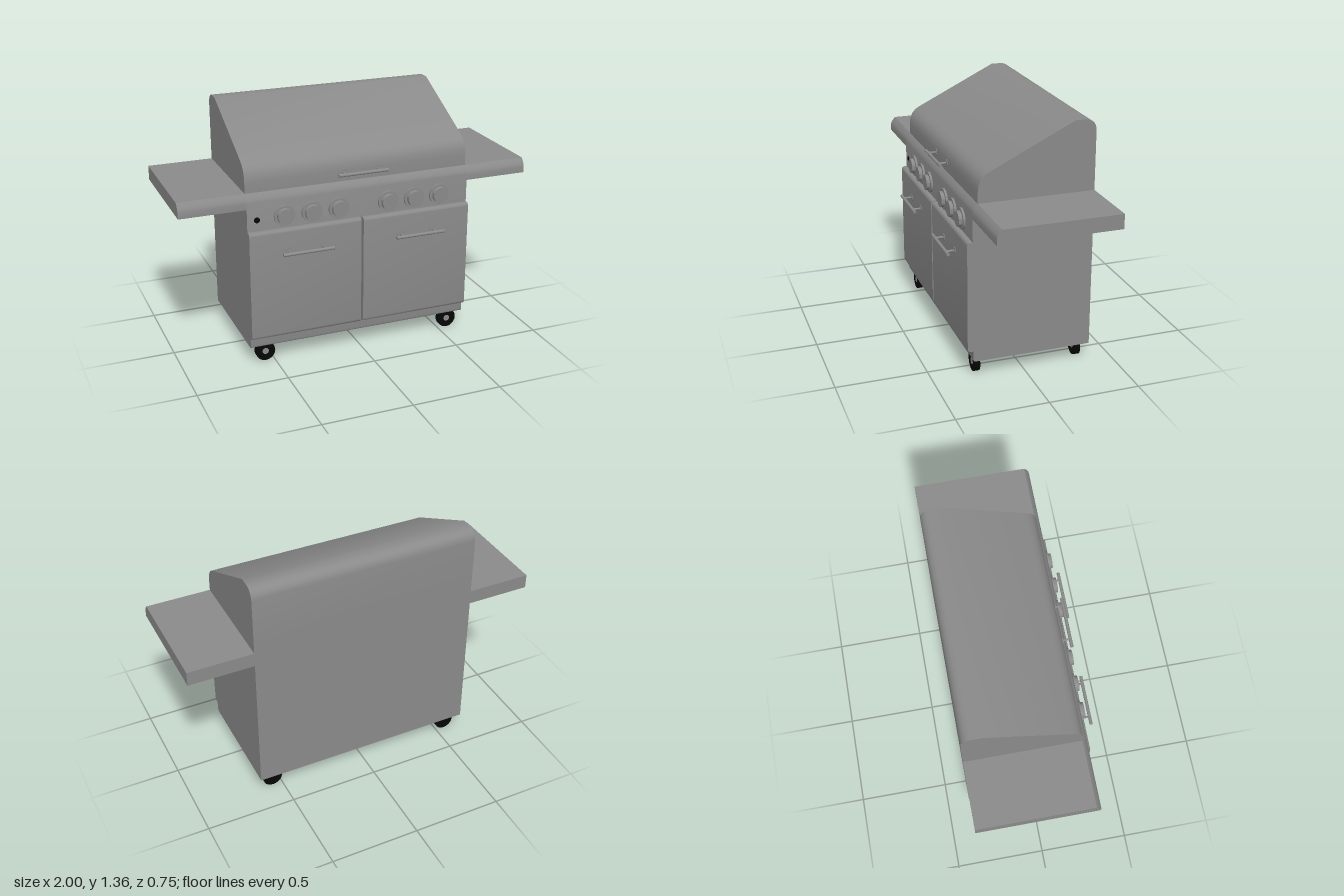
import * as THREE from 'three';
import { toCreasedNormals } from 'three/addons/utils/BufferGeometryUtils.js';

const steel = new THREE.MeshStandardMaterial({ color: 0x8a8a8a });
const black = new THREE.MeshStandardMaterial({ color: 0x060606 });

const BACK = -0.374, FRONT = 0.287, HALF = 0.638;

export function createModel() {
  const model = new THREE.Group();

  function add(name, geometry, material, x = 0, y = 0, z = 0, parent = model) {
    const mesh = new THREE.Mesh(geometry, material);
    mesh.name = name;
    mesh.position.set(x, y, z);
    parent.add(mesh);
    return mesh;
  }

  // Side profile drawn in (z, y), swept along x from x0 to x1
  function sweep(shape, x0, x1) {
    const g = new THREE.ExtrudeGeometry(shape, { depth: x1 - x0, bevelEnabled: false, curveSegments: 4 });
    g.rotateY(-Math.PI / 2);
    g.translate(x1, 0, 0);
    return toCreasedNormals(g, 0.5);
  }

  // Disc whose axis points to the front
  function disc(rFront, rBack, depth, segments = 32) {
    return toCreasedNormals(new THREE.CylinderGeometry(rFront, rBack, depth, segments).rotateX(Math.PI / 2), 0.6);
  }

  // Cabinet with a rounded front shoulder and a rounded toe
  const cabinet = new THREE.Shape();
  cabinet.moveTo(BACK, 0.095);
  cabinet.lineTo(FRONT - 0.015, 0.095);
  cabinet.quadraticCurveTo(FRONT, 0.095, FRONT, 0.11);
  cabinet.lineTo(FRONT, 0.935);
  cabinet.quadraticCurveTo(FRONT - 0.004, 0.957, 0.26, 0.98);
  cabinet.lineTo(BACK, 0.98);
  add('cabinet', sweep(cabinet, -HALF, HALF), steel);

  // Side shelves share the cabinet's shoulder
  const shelf = new THREE.Shape();
  shelf.moveTo(BACK, 0.9);
  shelf.lineTo(FRONT, 0.9);
  shelf.lineTo(FRONT, 0.935);
  shelf.quadraticCurveTo(FRONT - 0.004, 0.957, 0.26, 0.98);
  shelf.lineTo(BACK, 0.98);
  add('leftShelf', sweep(shelf, HALF, 1), steel);
  add('rightShelf', sweep(shelf, -1, -HALF), steel);

  // Sloping lid with rounded brow and crown
  const lid = new THREE.Shape();
  lid.moveTo(BACK, 0.98);
  lid.lineTo(0.26, 0.98);
  lid.lineTo(0.26, 1.04);
  lid.bezierCurveTo(0.26, 1.095, 0.235, 1.123, 0.2, 1.14);
  lid.lineTo(-0.257, 1.363);
  lid.lineTo(-0.315, 1.363);
  lid.bezierCurveTo(-0.35, 1.363, BACK, 1.338, BACK, 1.303);
  add('lid', sweep(lid, -HALF, HALF), steel);

  // Doors with rounded top and bottom front edges
  const door = new THREE.Shape();
  const dz = 0.317, r = 0.018;
  door.moveTo(FRONT - 0.005, 0.156);
  door.lineTo(dz - r, 0.156);
  door.quadraticCurveTo(dz, 0.156, dz, 0.156 + r);
  door.lineTo(dz, 0.774 - r);
  door.quadraticCurveTo(dz, 0.774, dz - r, 0.774);
  door.lineTo(FRONT - 0.005, 0.774);
  add('leftDoor', sweep(door, 0.007, HALF), steel);
  add('rightDoor', sweep(door, -HALF, -0.007), steel);

  // Bar handle on two posts with round flanges
  function addHandle(name, x, y, zSurface, reach) {
    const handle = new THREE.Group();
    handle.name = name;
    handle.position.set(x, y, zSurface);
    model.add(handle);
    const bar = new THREE.CylinderGeometry(0.009, 0.009, 0.286, 16).rotateZ(Math.PI / 2);
    add('handleBar', bar, steel, 0, 0, reach, handle);
    for (const px of [-0.098, 0.098]) {
      add('handlePost', disc(0.006, 0.006, reach, 16), steel, px, 0, reach / 2, handle);
      add('handleFlange', disc(0.021, 0.021, 0.004, 24), steel, px, 0, 0.001, handle);
    }
  }
  addHandle('lidHandle', 0.01, 1.028, 0.26, 0.045);
  addHandle('leftDoorHandle', 0.325, 0.65, dz, 0.048);
  addHandle('rightDoorHandle', -0.325, 0.65, dz, 0.048);

  // Burner knobs: bezel plate and raised cap
  for (const x of [-0.434, -0.28, -0.127, 0.16, 0.313, 0.466]) {
    add('knobBezel', disc(0.058, 0.058, 0.014), steel, x, 0.843, FRONT + 0.005);
    add('knobCap', disc(0.042, 0.044, 0.022), steel, x, 0.843, FRONT + 0.02);
  }

  // Igniter button
  add('igniterButton', disc(0.016, 0.017, 0.006, 10), black, -0.584, 0.836, FRONT);

  // Wheels with a small hub plate on the front face
  for (const x of [-0.55, 0.554]) {
    for (const z of [0.253, -0.323]) {
      add('wheel', disc(0.055, 0.055, 0.03), black, x, 0.055, z);
      add('wheelHub', disc(0.018, 0.018, 0.004, 20), steel, x, 0.055, z + 0.0145);
    }
  }

  return model;
}
